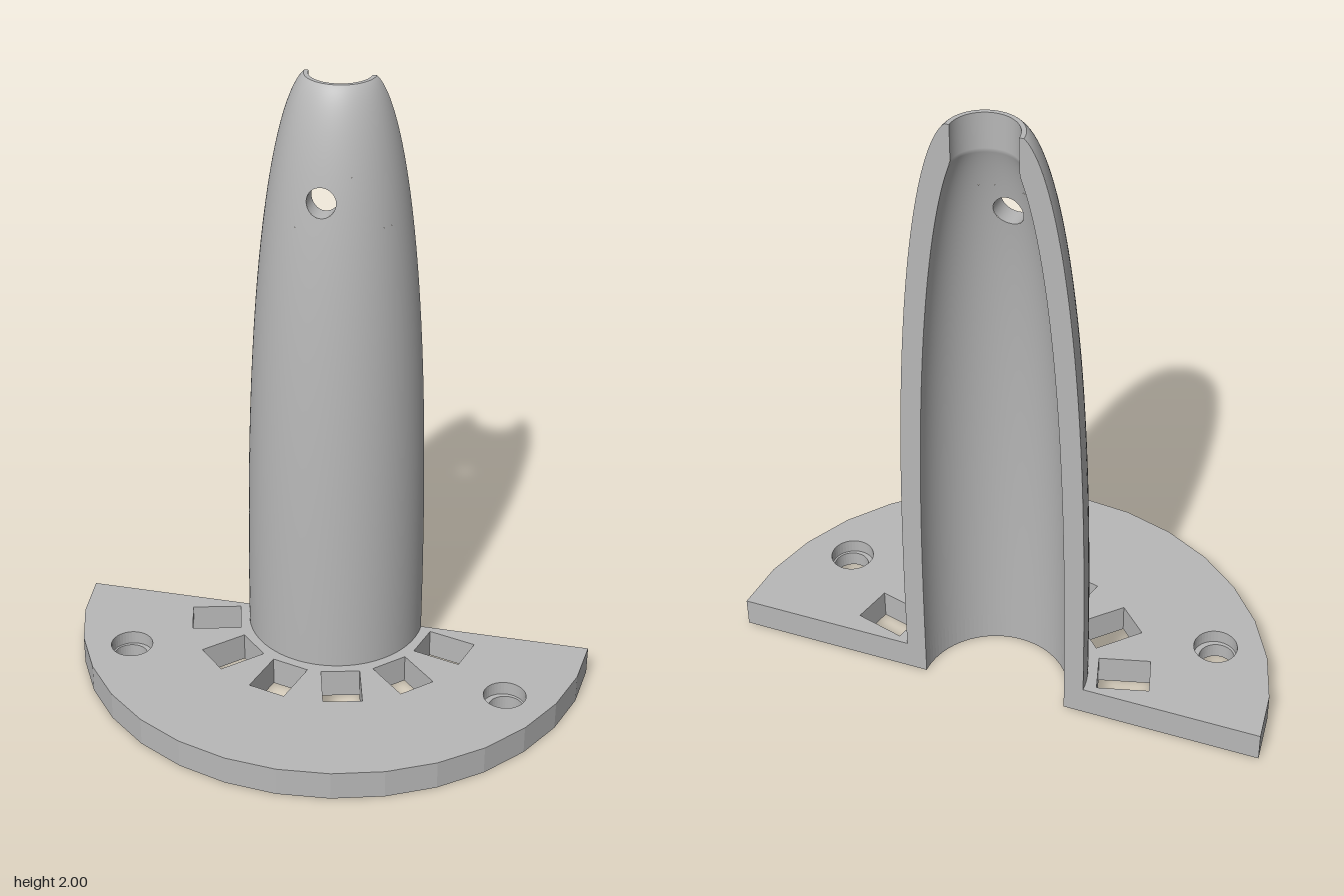
import * as THREE from 'three';
import { ParametricGeometry } from 'three/addons/geometries/ParametricGeometry.js';

const BASE = 0.095, TOP = 2, AXIS_Z = -0.42;
const HOLE = { x: -0.01, y: 1.675, r: 0.045, half: 0.085 };

// Radius of the tower's outer and inner surface at height y
const curve = (y, height) => Math.sqrt(Math.max(0, 1 - Math.max(0, (y - BASE) / height) ** 2.45));
const outerR = y => 0.085 + 0.205 * curve(y, 1.915);
const innerR = y => Math.max(0.095, 0.035 + 0.193 * curve(y, 1.87));

export function createModel() {
  const model = new THREE.Group();
  model.name = 'halfTowerOnBase';
  const grey = new THREE.MeshStandardMaterial({ color: 0xb8b8b8 });
  grey.name = 'grey';

  const add = (name, geometry, parent) => {
    const mesh = new THREE.Mesh(geometry, grey);
    mesh.name = name;
    parent.add(mesh);
    return mesh;
  };

  // ---- Half-round base plate with bore, windows and screw holes ----
  const base = new THREE.Group();
  base.name = 'base';
  base.position.z = AXIS_Z;
  model.add(base);

  const plate = new THREE.Shape();
  for (let i = 0; i <= 16; i++) {
    const a = (i / 16) * Math.PI;
    const x = 0.847 * Math.cos(a), y = 0.84 * Math.sin(a);
    i ? plate.lineTo(x, y) : plate.moveTo(x, y);
  }
  for (let i = 0; i <= 48; i++) {
    const a = Math.PI * (1 - i / 48);
    plate.lineTo(0.228 * Math.cos(a), 0.228 * Math.sin(a));
  }
  plate.closePath();

  // Six rectangular windows in a ring around the tower
  for (let i = 0; i < 6; i++) {
    const a = THREE.MathUtils.degToRad(15 + 30 * i);
    const corners = [[-1, -1], [-1, 1], [1, 1], [1, -1]].map(([u, v]) =>
      new THREE.Vector2(0.4 + u * 0.08, v * 0.0625).rotateAround(new THREE.Vector2(), a));
    plate.holes.push(new THREE.Path(corners));
  }
  // Screw holes, each with a narrower lower ring
  const extrude = (shape, depth) => new THREE.ExtrudeGeometry(shape, { depth, bevelEnabled: false, curveSegments: 20 })
    .rotateX(Math.PI / 2).translate(0, depth, 0);
  for (const side of [-1, 1]) {
    plate.holes.push(new THREE.Path().absarc(side * 0.618, 0.315, 0.068, 0, Math.PI * 2, true));
    const ring = new THREE.Shape().absarc(side * 0.618, 0.315, 0.068, 0, Math.PI * 2, false);
    ring.holes.push(new THREE.Path().absarc(side * 0.624, 0.315, 0.056, 0, Math.PI * 2, true));
    add(side > 0 ? 'leftScrewSeat' : 'rightScrewSeat', extrude(ring, 0.05), base);
  }
  add('basePlate', extrude(plate, BASE), base);

  // ---- Hollow half tower ----
  const tower = new THREE.Group();
  tower.name = 'tower';
  tower.position.z = AXIS_Z;
  model.add(tower);

  // Curved patch with smooth normals that follow the profile
  const patch = (name, radius, inward, nu, nv, rule) => {
    const g = new ParametricGeometry((u, v, p) => {
      const [x, y] = rule(inward ? 1 - u : u, v, radius);
      p.set(x, y, Math.sqrt(Math.max(0, radius(y) ** 2 - x * x)));
    }, nu, nv);
    const pos = g.attributes.position, n = new THREE.Vector3();
    for (let i = 0; i < pos.count; i++) {
      const y = pos.getY(i), lo = y - 0.003, hi = Math.min(TOP, y + 0.003);
      const slope = (radius(hi) - radius(lo)) / (hi - lo), a = Math.atan2(pos.getX(i), pos.getZ(i));
      n.set(Math.sin(a), -slope, Math.cos(a)).normalize().multiplyScalar(inward ? -1 : 1);
      g.attributes.normal.setXYZ(i, n.x, n.y, n.z);
    }
    add(name, g, tower);
  };

  const y0 = HOLE.y - HOLE.half, y1 = HOLE.y + HOLE.half;
  const half = Math.PI / 2;
  // Strip between two heights and two angles
  const band = (ya, yb, from, to, ease = 1) => (u, v, radius) => {
    const y = yb - (yb - ya) * (1 - v) ** ease;
    const a = THREE.MathUtils.lerp(from(y, radius), to(y, radius), u);
    return [radius(y) * Math.sin(a), y];
  };
  const edge = s => () => s * half;
  const holeSide = s => (y, radius) => Math.asin((HOLE.x + s * HOLE.half) / radius(y));
  // Square field around the round cross hole
  const holeField = (u, v) => {
    const a = -u * Math.PI * 2 + Math.PI / 4, c = Math.cos(a), s = Math.sin(a);
    const d = THREE.MathUtils.lerp(HOLE.r, HOLE.half / Math.max(Math.abs(c), Math.abs(s)), v);
    return [HOLE.x + d * c, HOLE.y + d * s];
  };

  for (const [name, radius, inward] of [['outer', outerR, false], ['inner', innerR, true]]) {
    patch(name + 'Lower', radius, inward, 48, 24, band(BASE, y0, edge(-1), edge(1)));
    patch(name + 'Upper', radius, inward, 48, 24, band(y1, TOP, edge(-1), edge(1), 2));
    patch(name + 'RightOfHole', radius, inward, 16, 8, band(y0, y1, edge(-1), holeSide(-1)));
    patch(name + 'LeftOfHole', radius, inward, 16, 8, band(y0, y1, holeSide(1), edge(1)));
    patch(name + 'AroundHole', radius, inward, 48, 6, holeField);
  }

  // Wall of the cross hole
  add('holeWall', new ParametricGeometry((u, v, p) => {
    const a = u * Math.PI * 2;
    const x = HOLE.x + HOLE.r * Math.cos(a), y = HOLE.y + HOLE.r * Math.sin(a);
    const zi = Math.sqrt(innerR(y) ** 2 - x * x), zo = Math.sqrt(outerR(y) ** 2 - x * x);
    p.set(x, y, THREE.MathUtils.lerp(zo, zi, v));
  }, 32, 1), tower);

  // Flat rim at the top
  add('topRim', new THREE.RingGeometry(innerR(TOP), outerR(TOP), 48, 1, Math.PI, Math.PI)
    .rotateX(-half).translate(0, TOP, 0), tower);

  // Flat cut faces of the wall at the back
  const heights = Array.from({ length: 49 }, (_, i) => TOP - (TOP - BASE) * (1 - i / 48) ** 2);
  for (const side of [-1, 1]) {
    const outline = [
      ...heights.map(y => new THREE.Vector2(side * outerR(y), y)),
      ...heights.slice().reverse().map(y => new THREE.Vector2(side * innerR(y), y)),
    ];
    add(side > 0 ? 'rightCutFace' : 'leftCutFace',
      new THREE.ShapeGeometry(new THREE.Shape(outline)).rotateY(Math.PI), tower);
  }
  return model;
}
